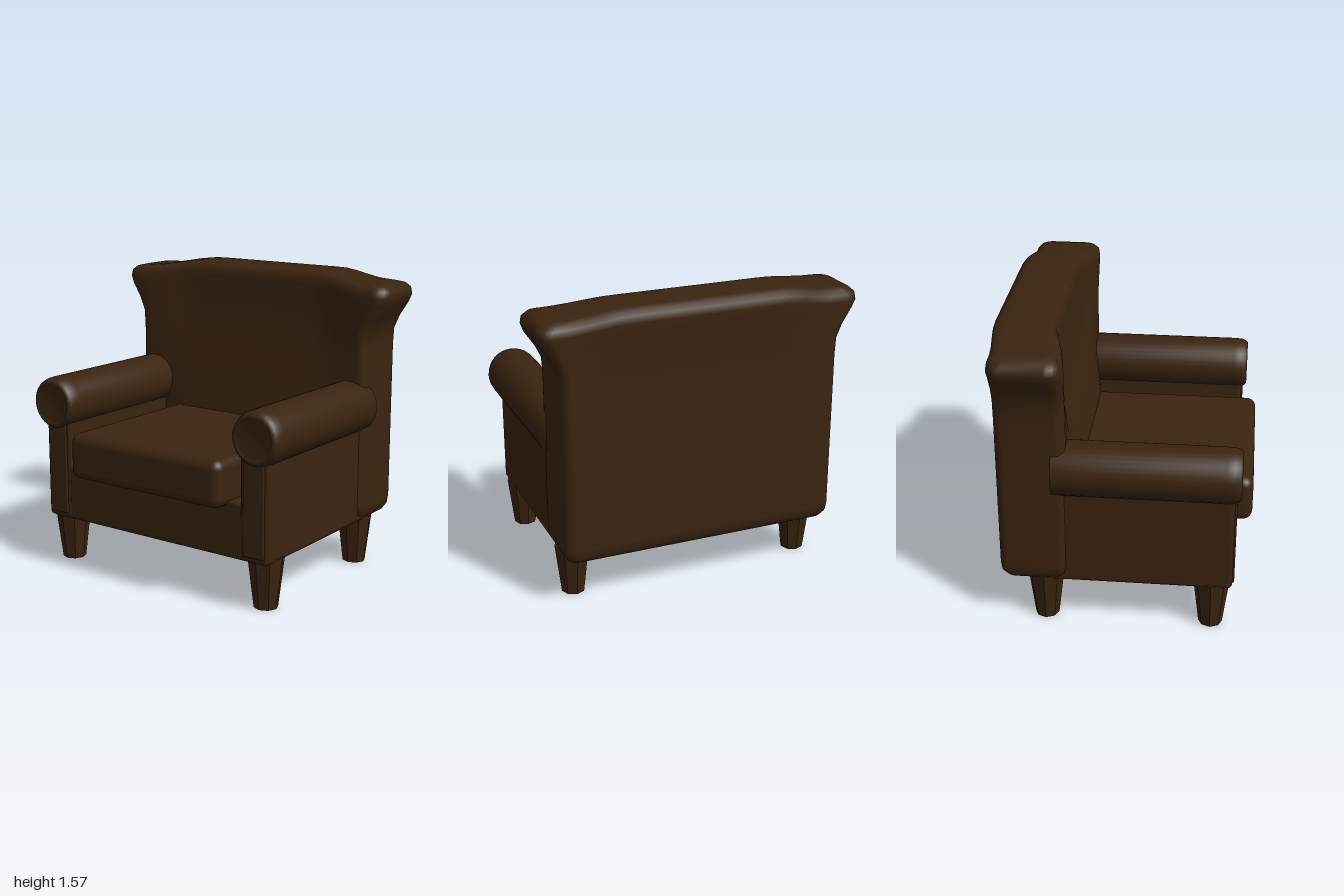
import * as THREE from 'three';
import { RoundedBoxGeometry } from 'three/addons/geometries/RoundedBoxGeometry.js';

const brown = new THREE.MeshStandardMaterial({ color: 0x3a2410 });
brown.name = 'dark brown';

const smooth = (a, b, t) => THREE.MathUtils.smoothstep(t, a, b);

function add(parent, name, geometry, x = 0, y = 0, z = 0) {
  const mesh = new THREE.Mesh(geometry, brown);
  mesh.name = name;
  mesh.position.set(x, y, z);
  parent.add(mesh);
  return mesh;
}

// Rounded box given by its limits on each axis
function block(parent, name, [x0, x1], [y0, y1], [z0, z1], r) {
  const g = new RoundedBoxGeometry(x1 - x0, y1 - y0, z1 - z0, 4, r);
  return add(parent, name, g, (x0 + x1) / 2, (y0 + y1) / 2, (z0 + z1) / 2);
}

// Rounded rectangle outline in x and z, with extra points on the long sides
function outline(halfW, back, front, r) {
  const pts = [], mid = (front + back) / 2, d = (front - back) / 2;
  const signs = [[1, 1], [-1, 1], [-1, -1], [1, -1]];
  signs.forEach(([sx, sz], k) => {
    for (let i = 0; i <= 5; i++) {
      const a = (k + i / 5) * Math.PI / 2;
      pts.push([sx * (halfW - r) + r * Math.cos(a), mid + sz * (d - r) + r * Math.sin(a)]);
    }
    if (k % 2 === 0) {
      for (let i = 1; i < 20; i++) pts.push([sx * (halfW - r) * (1 - i / 10), mid + sz * d]);
    }
  });
  return pts;
}

// Backrest: stacked outlines, flaring near the top, with a crowned top edge
function backrestGeometry() {
  const levels = [ // y, half width, back, front, corner radius, depth scale
    [0.25, 0.68, -0.54, -0.31, 0.05, 0], [0.25, 0.68, -0.54, -0.31, 0.05, 1],
    [0.262, 0.715, -0.575, -0.275, 0.05, 1], [0.295, 0.735, -0.595, -0.255, 0.05, 1],
    [0.34, 0.74, -0.6, -0.25, 0.05, 1], [0.6, 0.74, -0.6, -0.25, 0.05, 1],
    [0.8, 0.74, -0.6, -0.25, 0.05, 1], [1.0, 0.74, -0.6, -0.25, 0.05, 1],
    [1.18, 0.74, -0.6, -0.25, 0.05, 1], [1.27, 0.745, -0.6, -0.25, 0.05, 1],
    [1.34, 0.78, -0.6, -0.25, 0.06, 1], [1.42, 0.835, -0.6, -0.25, 0.07, 1],
    [1.46, 0.85, -0.605, -0.25, 0.07, 1], [1.495, 0.845, -0.6, -0.255, 0.07, 1],
    [1.517, 0.82, -0.58, -0.275, 0.06, 1], [1.527, 0.78, -0.55, -0.305, 0.05, 1],
    [1.53, 0.75, -0.53, -0.325, 0.05, 0.6], [1.53, 0.75, -0.53, -0.325, 0.05, 0],
  ];
  const pos = [], index = [];
  let n = 0;
  levels.forEach(([y, w, back, front, r, depth], k) => {
    const ring = outline(w, back, front, r), mid = (back + front) / 2;
    n = ring.length;
    for (const [x, z] of ring) {
      const centre = 1 - smooth(0.4, 0.72, Math.abs(x));
      const up = smooth(0.6, 1.45, y);
      // the middle of the front reclines, the middle of the back leans out a little
      const lean = z > mid ? 0.05 * smooth(0.3, 0.6, y) - 0.115 * up : -0.028 * smooth(1.1, 1.5, y);
      pos.push(x, y + 0.04 * centre * smooth(1.2, 1.5, y), mid + (z - mid + centre * lean) * depth);
    }
    if (k === 0) return;
    for (let j = 0; j < n; j++) {
      const a = (k - 1) * n + j, b = (k - 1) * n + (j + 1) % n;
      index.push(a, a + n, b, b, a + n, b + n);
    }
  });
  const g = new THREE.BufferGeometry();
  g.setAttribute('position', new THREE.Float32BufferAttribute(pos, 3));
  g.setIndex(index);
  g.computeVertexNormals();
  return g;
}

// Rolled arm: a cylinder with a softly rounded, slightly dished front
function armRollGeometry() {
  const profile = [[0, -0.32], [0.14, -0.32], [0.14, 0.54], [0.138, 0.575], [0.13, 0.6],
    [0.117, 0.613], [0.105, 0.613], [0.096, 0.603], [0, 0.6]];
  const g = new THREE.LatheGeometry(profile.map(([r, l]) => new THREE.Vector2(r, l)), 32);
  return g.rotateX(Math.PI / 2);
}

// Faceted tapered leg
function legGeometry() {
  const g = new THREE.CylinderGeometry(0.095, 0.062, 0.27, 8).toNonIndexed();
  g.computeVertexNormals();
  return g;
}

export function createModel() {
  const model = new THREE.Group();
  model.name = 'armchair';
  const chair = new THREE.Group();
  chair.name = 'turnedChair';
  chair.rotation.y = -THREE.MathUtils.degToRad(32.5);
  chair.position.set(-0.008, 0, -0.005);
  model.add(chair);

  // Seat
  block(chair, 'seatBase', [-0.68, 0.68], [0.25, 0.54], [-0.5, 0.58], 0.015);
  const cushion = block(chair, 'seatCushion', [-0.485, 0.485], [0.51, 0.755], [-0.3, 0.67], 0.05);
  cushion.geometry.computeBoundingBox();

  // Backrest
  add(chair, 'backrest', backrestGeometry());

  // Arms and legs, mirrored
  const roll = armRollGeometry(), leg = legGeometry();
  for (const [side, s] of [['left', 1], ['right', -1]]) {
    const span = (a, b) => (s > 0 ? [a, b] : [-b, -a]);
    block(chair, side + 'ArmPanel', span(0.55, 0.72), [0.25, 0.84], [-0.4, 0.585], 0.025);
    block(chair, side + 'ArmFacing', span(0.575, 0.7), [0.28, 0.8], [0.56, 0.594], 0.008);
    add(chair, side + 'ArmRoll', roll, s * 0.65, 0.88, 0);
    add(chair, side + 'FrontLeg', leg, s * 0.64, 0.135, 0.478);
    add(chair, side + 'BackLeg', leg, s * 0.64, 0.135, -0.375);
  }
  return model;
}
